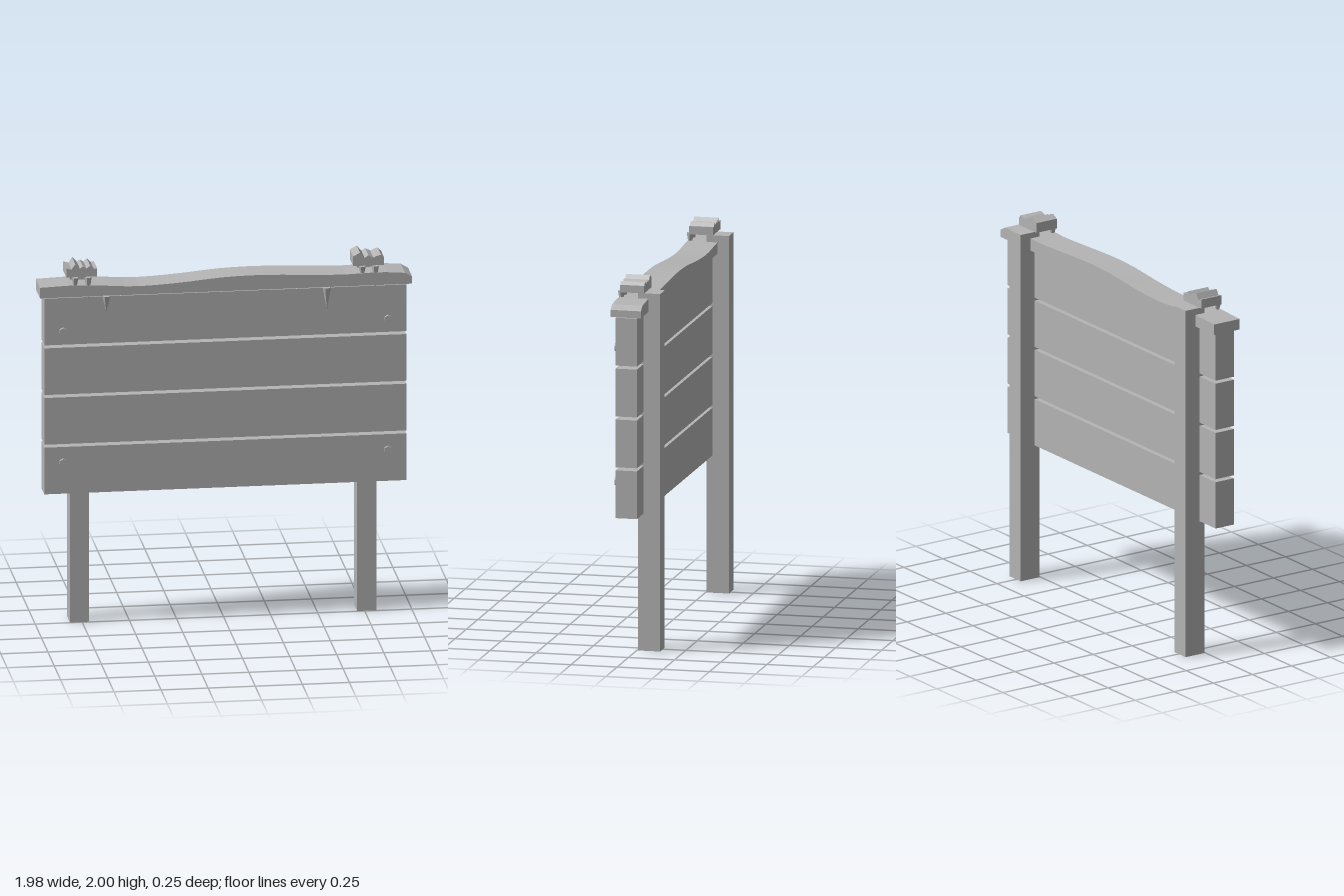
import * as THREE from 'three';

const grey = new THREE.MeshStandardMaterial({ color: 0xb4b4b4 });
grey.name = 'plain grey';

export function createModel() {
  const model = new THREE.Group();
  model.name = 'snowySignboard';

  const add = (name, geometry, x = 0, y = 0, z = 0) => {
    const mesh = new THREE.Mesh(geometry, grey);
    mesh.name = name;
    mesh.position.set(x, y, z);
    model.add(mesh);
    return mesh;
  };

  // Front-facing outline extruded from zBack to zFront
  const slab = (name, points, zBack, zFront) => {
    const shape = new THREE.Shape(points.map(([x, y]) => new THREE.Vector2(x, y)));
    add(name, new THREE.ExtrudeGeometry(shape, { depth: zFront - zBack, bevelEnabled: false }), 0, 0, zBack);
  };

  // Six-sided spike with a flat face to the front, hanging from yTop to yTip
  const icicle = (name, x, yTop, yTip, z, r) => {
    const h = yTop - yTip;
    const g = new THREE.CylinderGeometry(r, 0.0005, h, 6).rotateY(Math.PI / 6).toNonIndexed();
    g.computeVertexNormals();
    add(name, g, x, yTop - h / 2, z);
  };

  // Posts
  for (const [side, x] of [['right', -0.764], ['left', 0.761]]) {
    add(side + 'Post', new THREE.BoxGeometry(0.102, 1.922, 0.121), x, 0.961, -0.0655);
  }

  // Four horizontal boards
  for (let i = 0; i < 4; i++) {
    add('board' + (i + 1), new THREE.BoxGeometry(1.923, 0.257, 0.117), -0.001, 0.866 + i * 0.2735, 0.022);
  }

  // Hexagonal bolt heads at the corners
  for (const x of [-0.864, 0.861]) {
    for (const y of [0.915, 1.636]) {
      const g = new THREE.CylinderGeometry(0.021, 0.021, 0.015, 6).rotateX(Math.PI / 2).toNonIndexed();
      g.computeVertexNormals();
      add('bolt', g, x, y, 0.0985);
    }
  }

  // Wavy snow along the top board
  const crest = new THREE.CatmullRomCurve3([
    [-0.988, 1.882], [-0.79, 1.888], [-0.64, 1.88], [-0.48, 1.87], [-0.25, 1.88], [-0.02, 1.9], [0.18, 1.905],
    [0.4, 1.897], [0.62, 1.889], [0.82, 1.894], [0.95, 1.885],
  ].map(([x, y]) => new THREE.Vector3(x, y, 0))).getPoints(26).map((p) => [p.x, p.y]);
  slab('snowCap', [[-0.988, 1.824], [0.988, 1.824], [0.988, 1.862], ...crest.reverse()], -0.064, 0.1);

  // Jagged snow lumps above the posts
  slab('rightSnowLump', [
    [-0.846, 1.928], [-0.682, 1.928], [-0.682, 1.972], [-0.7, 1.97], [-0.72, 1.989], [-0.738, 1.972],
    [-0.758, 1.985], [-0.774, 1.974], [-0.798, 2], [-0.818, 1.97], [-0.846, 1.978],
  ], -0.047, 0.083);
  slab('leftSnowLump', [
    [0.677, 1.928], [0.842, 1.928], [0.842, 1.968], [0.825, 1.985], [0.8, 1.978], [0.785, 1.97],
    [0.758, 1.985], [0.738, 1.97], [0.714, 2], [0.677, 1.982],
  ], -0.047, 0.083);

  // Icicles under the cap and under the lumps
  icicle('rightIcicle', -0.637, 1.825, 1.74, 0.107, 0.022);
  icicle('leftIcicle', 0.534, 1.825, 1.702, 0.107, 0.022);
  for (const x of [-0.764, 0.761]) {
    icicle('shortLumpIcicle', x - 0.036, 1.928, 1.84, 0.088, 0.019);
    icicle('longLumpIcicle', x + 0.033, 1.928, 1.805, 0.088, 0.019);
  }

  return model;
}
